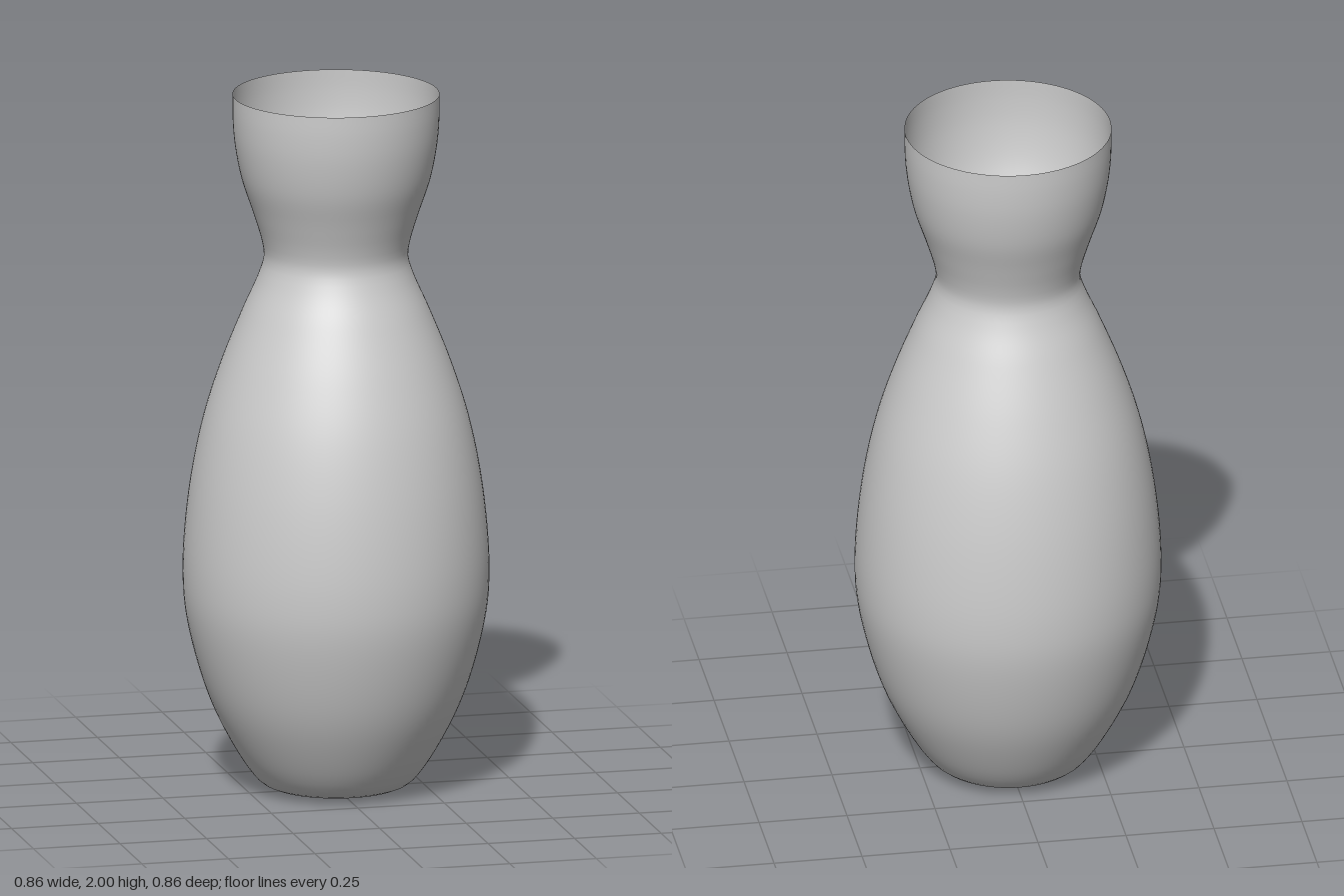
import * as THREE from 'three';

export function createModel() {
  const group = new THREE.Group();
  group.name = 'vase';

  // Wall profile from the centre of the base to the rim: [radius, height]
  const profile = [
    [0, 0], [0.1, 0.005], [0.17, 0.01], [0.21, 0.025], [0.25, 0.07],
    [0.315, 0.18], [0.36, 0.28], [0.4, 0.41], [0.424, 0.53], [0.43, 0.63],
    [0.424, 0.76], [0.404, 0.92], [0.37, 1.08], [0.322, 1.23], [0.262, 1.38],
    [0.218, 1.48], [0.202, 1.535], [0.208, 1.58], [0.232, 1.66], [0.265, 1.76],
    [0.284, 1.86], [0.29, 1.94], [0.29, 2],
  ].map(([r, y]) => new THREE.Vector3(r, y, 0));

  // Smooth curve through the profile, kept on or outside the axis
  const points = new THREE.CatmullRomCurve3(profile, false, 'centripetal')
    .getSpacedPoints(110)
    .map((p) => new THREE.Vector2(Math.max(p.x, 0), Math.max(p.y, 0)));

  // Thin open shell, visible inside and out
  const body = new THREE.Mesh(
    new THREE.LatheGeometry(points, 96),
    new THREE.MeshStandardMaterial({ color: 0xcccccc, side: THREE.DoubleSide })
  );
  body.name = 'vaseBody';
  group.add(body);
  return group;
}
